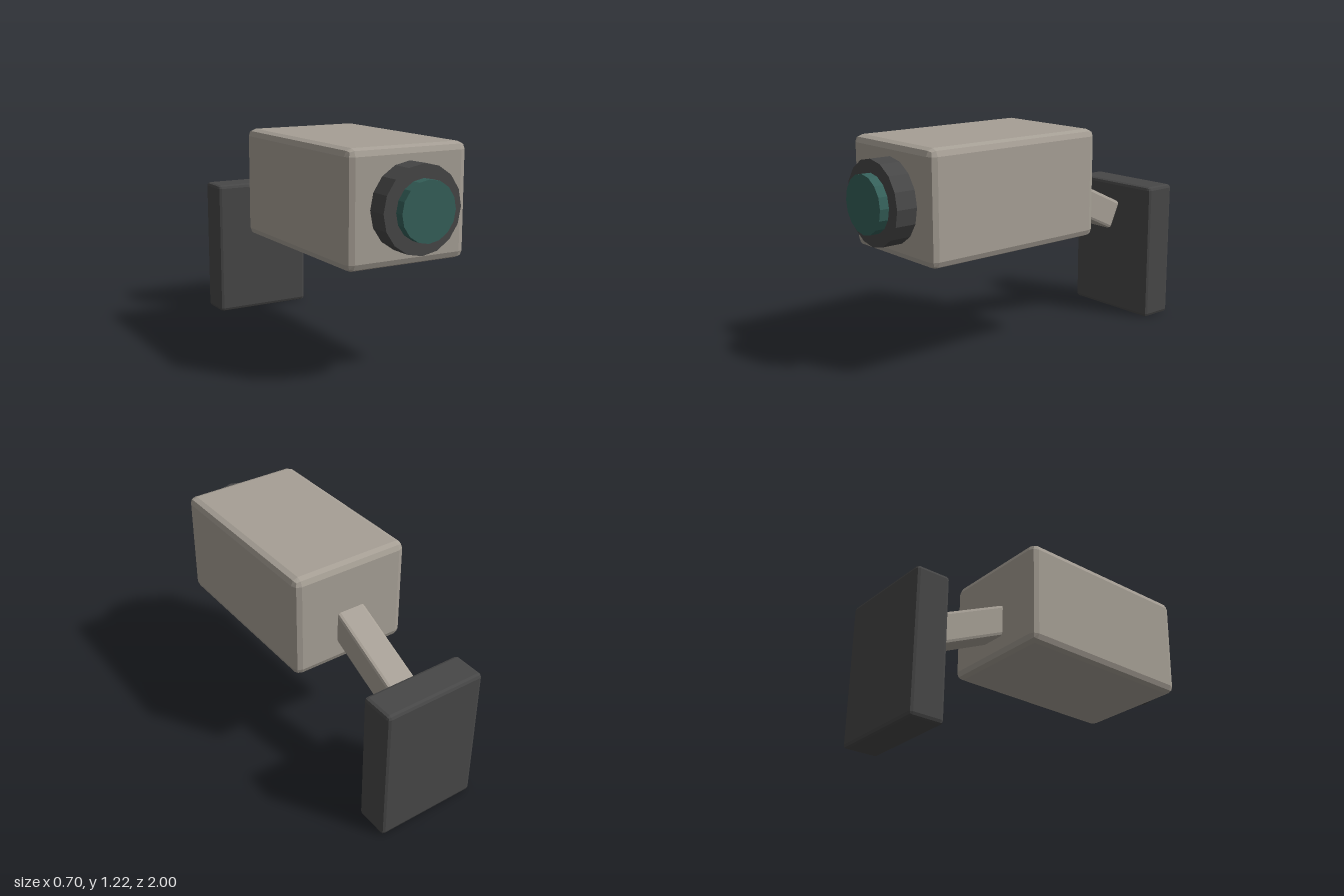
import * as THREE from 'three';
import { RoundedBoxGeometry } from 'three/addons/geometries/RoundedBoxGeometry.js';

export function createModel() {
  const model = new THREE.Group();
  model.name = 'securityCamera';

  const material = (name, color) => {
    const m = new THREE.MeshStandardMaterial({ color, flatShading: true });
    m.name = name;
    return m;
  };
  const casing = material('warmGreyCasing', 0xa69f95);
  const dark = material('darkGrey', 0x474747);
  const glass = material('tealGlass', 0x35605a);

  const add = (name, geometry, mat, x, y, z) => {
    const mesh = new THREE.Mesh(geometry, mat);
    mesh.name = name;
    mesh.position.set(x, y, z);
    model.add(mesh);
    return mesh;
  };
  // Box with a two-step bevel on every edge
  const bevelBox = (w, h, d, r) => new RoundedBoxGeometry(w, h, d, 1, r);
  // 16-sided disc facing forward
  const disc = (radius, depth) =>
    new THREE.CylinderGeometry(radius, radius, depth, 16).rotateX(Math.PI / 2);

  // Camera housing
  add('housing', bevelBox(0.705, 0.605, 1.115, 0.04), casing, 0, 0.918, 0.273);

  // Lens barrel and glass, each sunk slightly into the part behind it
  add('lensBarrel', disc(0.228, 0.17), dark, 0, 0.918, 0.863);
  add('lensGlass', disc(0.157, 0.1), glass, 0, 0.918, 0.95);

  // Support arm sloping down and back out of the housing
  const tilt = THREE.MathUtils.degToRad(25);
  const length = 0.6;
  const arm = add('supportArm', bevelBox(0.175, 0.175, length, 0.018), casing,
    0, 0.619 + Math.sin(tilt) * length / 2, -0.742 + Math.cos(tilt) * length / 2);
  arm.rotation.x = -tilt;

  // Wall plate
  add('wallPlate', bevelBox(0.605, 0.813, 0.2, 0.02), dark, 0, 0.4065, -0.9);

  return model;
}
